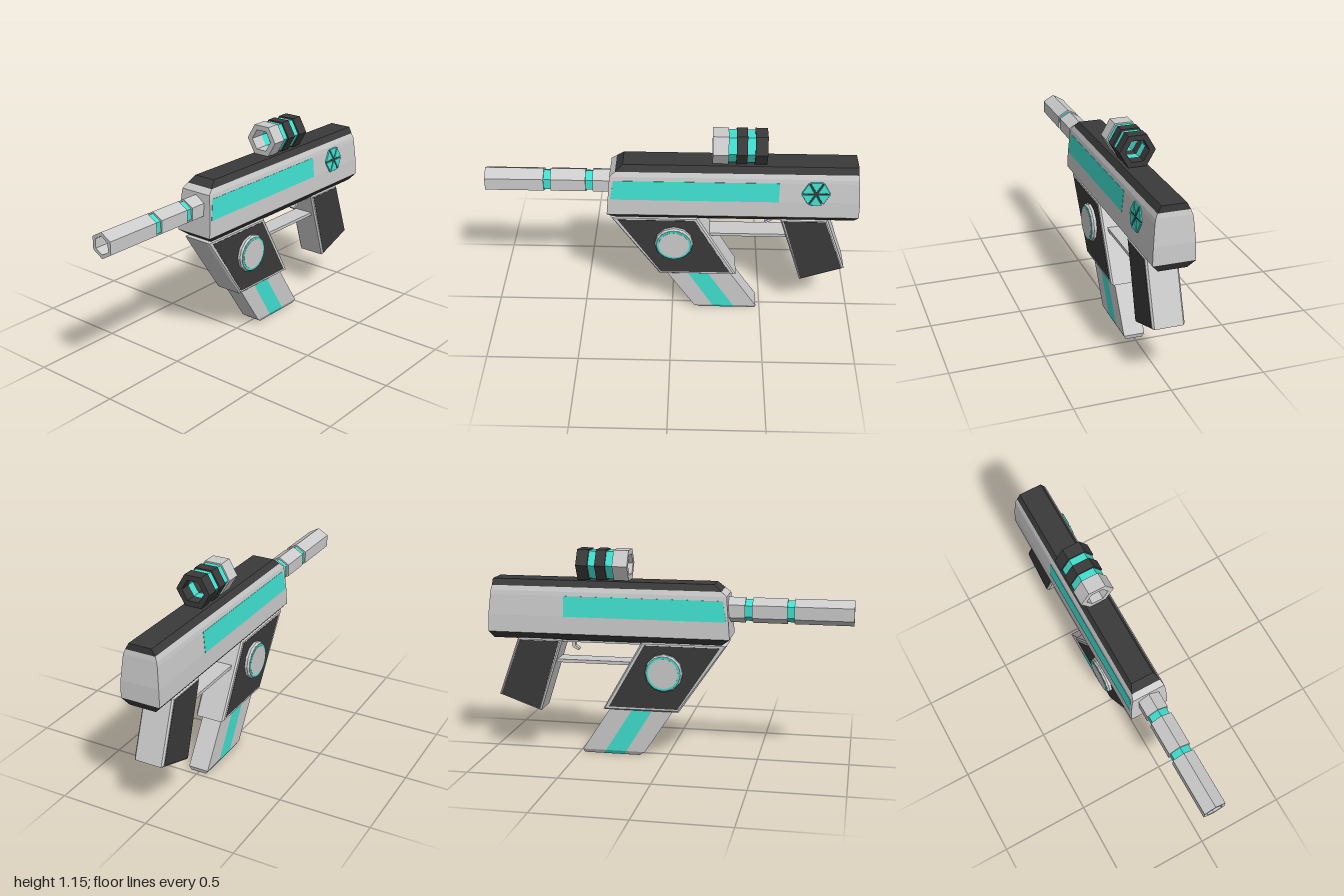
import * as THREE from 'three';

const material = (color) => new THREE.MeshStandardMaterial({ color, flatShading: true, side: THREE.DoubleSide });

export function createModel() {
  const model = new THREE.Group();
  const grey = material(0xcccccc), dark = material(0x3a3a3a), teal = material(0x40e0d0);

  function add(name, geometry, mat, parent = model) {
    const mesh = new THREE.Mesh(geometry, mat);
    mesh.name = name;
    parent.add(mesh);
    return mesh;
  }

  // Rectangular sections stacked upward: [y, xMin, xMax, halfDepth]
  function loft(levels) {
    const rings = levels.map(([y, a, b, z]) => [[a, y, z], [b, y, z], [b, y, -z], [a, y, -z]]);
    const out = [];
    const quad = (a, b, c, d) => out.push(...a, ...b, ...c, ...a, ...c, ...d);
    for (let j = 0; j < rings.length - 1; j++) {
      for (let i = 0; i < 4; i++) {
        const k = (i + 1) % 4;
        quad(rings[j][i], rings[j][k], rings[j + 1][k], rings[j + 1][i]);
      }
    }
    const top = rings[rings.length - 1], bottom = rings[0];
    quad(...top);
    quad(bottom[3], bottom[2], bottom[1], bottom[0]);
    const geometry = new THREE.BufferGeometry();
    geometry.setAttribute('position', new THREE.Float32BufferAttribute(out, 3));
    geometry.computeVertexNormals();
    return geometry;
  }

  // Side outline extruded symmetrically about z = 0, optionally bevelled
  function slab(points, half, bevel = 0) {
    const shape = new THREE.Shape(points.map(([x, y]) => new THREE.Vector2(x, y)));
    return new THREE.ExtrudeGeometry(shape, {
      depth: 2 * (half - bevel), steps: 1, bevelEnabled: bevel > 0, bevelSegments: 1,
      bevelSize: bevel, bevelThickness: bevel, bevelOffset: -bevel,
    }).translate(0, 0, bevel - half);
  }

  // Six-sided tube along x
  function hexTube(x0, x1, y, outer, inner, phase) {
    const profile = [[inner, x0], [outer, x0], [outer, x1], [inner, x1], [inner, x0]];
    return new THREE.LatheGeometry(profile.map((p) => new THREE.Vector2(...p)), 6, phase)
      .rotateZ(-Math.PI / 2).translate(0, y, 0);
  }

  // Receiver with dark upper and lower caps
  add('receiver', loft([
    [0.69, -0.35, 0.995, 0.109], [0.785, -0.342, 0.993, 0.106], [0.897, -0.332, 0.982, 0.096],
    [0.92, -0.33, 0.98, 0.092], [0.945, -0.3, 0.975, 0.082],
  ]), grey);
  add('topCover', loft([[0.945, -0.3, 0.975, 0.082], [0.98, -0.26, 0.975, 0.063]]), dark);
  add('lowerCover', loft([[0.65, -0.3, 0.975, 0.074], [0.69, -0.35, 0.995, 0.109]]), dark);
  add('sidePanels', loft([[0.785, -0.33, 0.565, 0.1075], [0.897, -0.31, 0.565, 0.0975]]), teal);

  // Hexagonal light made of six wedges, on one side only
  const light = new THREE.Group();
  light.name = 'sideLight';
  light.position.set(0.757, 0.84, 0.102);
  light.rotation.x = -0.09;
  model.add(light);
  const backing = new THREE.CylinderGeometry(0.068, 0.074, 0.006, 6).rotateX(Math.PI / 2).rotateZ(Math.PI / 6);
  add('lightBacking', backing, dark, light).scale.y = 0.95;
  for (let i = 0; i < 6; i++) {
    const at = (r, a) => [r * Math.cos(a), r * Math.sin(a)];
    const mid = (i + 0.5) * Math.PI / 3;
    const wedge = slab([at(0.01, mid), at(0.075, mid - 0.47), at(0.075, mid + 0.47)], 0.007, 0.002);
    add('lightWedge', wedge, teal, light);
  }

  // Barrel sections and glowing joints
  for (const [a, b] of [[-1, -0.686], [-0.649, -0.462], [-0.424, -0.3]]) {
    add('barrelSection', hexTube(a, b, 0.838, 0.069, 0.048, Math.PI / 6), grey);
  }
  for (const [a, b] of [[-0.69, -0.645], [-0.466, -0.42]]) {
    add('barrelJoint', hexTube(a, b, 0.838, 0.059, 0.048, Math.PI / 6), teal);
  }

  // Sight tube
  for (const [a, b, mat] of [[0.21, 0.293, grey], [0.333, 0.39, dark], [0.43, 0.495, dark]]) {
    add('sightSection', hexTube(a, b, 1.066, 0.095, 0.063, 0), mat);
  }
  for (const [a, b] of [[0.29, 0.336], [0.387, 0.433]]) {
    add('sightJoint', hexTube(a, b, 1.066, 0.086, 0.063, 0), teal);
  }

  // Magazine housing with inlaid dark sides
  add('magazineHousing', slab([[-0.335, 0.655], [-0.07, 0.267], [0.355, 0.267], [0.135, 0.655]], 0.084, 0.009), grey);
  add('housingInlay', slab([[-0.295, 0.637], [-0.064, 0.285], [0.32, 0.285], [0.12, 0.637]], 0.0855), dark);

  // Round bosses on both sides
  for (const side of [1, -1]) {
    const boss = new THREE.Group();
    boss.name = 'roundBoss';
    boss.position.set(0.01, 0.49, 0);
    boss.rotation.x = side * Math.PI / 2;
    model.add(boss);
    const rim = [[0.105, 0.07], [0.105, 0.1], [0.096, 0.111], [0, 0.111]].map((p) => new THREE.Vector2(...p));
    add('bossRim', new THREE.LatheGeometry(rim, 12), grey, boss);
    add('bossRing', new THREE.CylinderGeometry(0.095, 0.095, 0.02, 24).translate(0, 0.1022, 0), teal, boss);
    add('bossFace', new THREE.CylinderGeometry(0.083, 0.083, 0.02, 24).translate(0, 0.1034, 0), grey, boss);
  }

  // Slanted magazine with a stripe: x limits at the foot, the foot edge and the top
  const magazine = [
    ['magazineFront', grey, [0.157, 0.243], [0.125, 0.23], [-0.055, 0.063]],
    ['magazineStripe', teal, [0.243, 0.362], [0.23, 0.347], [0.063, 0.175]],
    ['magazineRear', grey, [0.362, 0.473], [0.347, 0.478], [0.175, 0.3]],
  ];
  for (const [name, mat, foot, edge, top] of magazine) {
    add(name, loft([[0, ...foot, 0.045], [0.022, ...edge, 0.057], [0.295, ...top, 0.057]]), mat);
  }

  // Trigger guard and trigger
  add('guardTop', slab([[0.12, 0.655], [0.12, 0.635], [0.6, 0.635], [0.6, 0.655]], 0.055), grey);
  add('guardBottom', slab([[0.19, 0.535], [0.2, 0.517], [0.63, 0.517], [0.63, 0.535]], 0.055), grey);
  add('trigger', slab([[0.525, 0.64], [0.525, 0.607], [0.5, 0.59], [0.508, 0.58], [0.54, 0.598], [0.545, 0.64]], 0.015), grey);

  // Grip with inlaid dark sides
  add('grip', slab([[0.58, 0.655], [0.713, 0.24], [0.953, 0.325], [0.835, 0.655]], 0.084, 0.009), grey);
  add('gripInlay', slab([[0.6, 0.642], [0.719, 0.253], [0.938, 0.331], [0.825, 0.642]], 0.0855), dark);

  return model;
}
